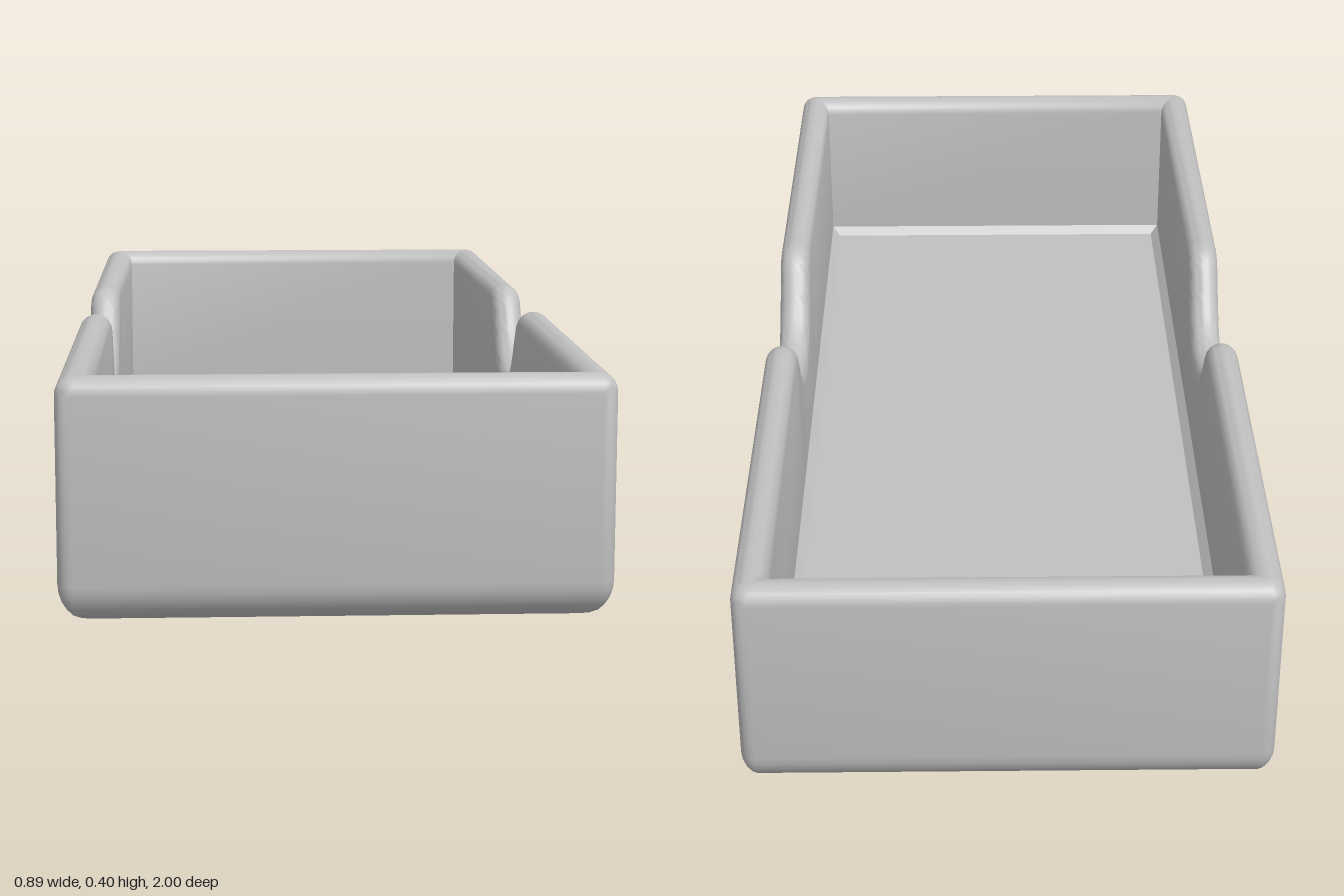
import * as THREE from 'three';
import { toCreasedNormals } from 'three/addons/utils/BufferGeometryUtils.js';

const HX = 0.445, HZ = 1, TOP = 0.4; // half width, half length, height
const CORNER = 0.025;                // vertical outer corner radius
const WALL = 0.06, RIM = 0.03;       // wall thickness, rim rounding
const FILLET = 0.065;                // bottom edge rounding
const FLOOR = 0.066, CHAMFER = 0.016;

// Top edge of the long walls with the finger notch, as (z, y)
function notchSamples() {
  const half = [[0.3, 0.4], [0.25, 0.4], [0.218, 0.4], [0.19, 0.393], [0.17, 0.377],
    [0.15, 0.352], [0.12, 0.312], [0.09, 0.283], [0.05, 0.261]];
  const pts = [...half, [0, 0.253], ...half.slice().reverse().map(([z, y]) => [-z, y])];
  const curve = new THREE.SplineCurve(pts.map(([z, y]) => new THREE.Vector2(z, y)));
  const samples = [];
  for (let i = 0; i <= 56; i++) {
    const p = curve.getPointAt(i / 56), t = curve.getTangentAt(i / 56);
    samples.push({ z: p.x, h: p.y, nz: t.y, ny: -t.x }); // normal points up
  }
  return samples;
}

// Columns around the outline; at(d) gives the [x, z] point inset by d
function outline() {
  const cols = [];
  const signs = [[1, 1], [-1, 1], [-1, -1], [1, -1]];
  const notch = notchSamples();
  const side = (sx, list) => list.forEach((s) => cols.push({
    at: (d) => [sx * (HX - d), s.z], h: s.h, nz: s.nz, ny: s.ny,
  }));
  signs.forEach(([sx, sz], q) => {
    for (let i = 0; i <= 5; i++) {
      const a = (q + i / 5) * Math.PI / 2;
      cols.push({
        at: (d) => {
          const k = Math.max(CORNER - d, 0);
          return [sx * (HX - d - k) + k * Math.cos(a), sz * (HZ - d - k) + k * Math.sin(a)];
        },
        h: TOP, nz: 0, ny: 1,
      });
    }
    if (q === 1) side(-1, notch);
    if (q === 3) side(1, notch.slice().reverse());
  });
  return cols;
}

// Wall section: underside centre, out, up, over the rim, down to the floor centre
function section(col) {
  const pts = [];
  const add = (d, y) => { const [x, z] = col.at(d); pts.push(new THREE.Vector3(x, y, z)); };
  pts.push(new THREE.Vector3(0, 0, 0));
  for (let i = 0; i <= 7; i++) {
    const a = i / 7 * Math.PI / 2;
    add(FILLET * (1 - Math.sin(a)), FILLET * (1 - Math.cos(a)));
  }
  const [ox, oz] = col.at(0), [ix, iz] = col.at(WALL);
  for (let i = 0; i <= 12; i++) {
    const a = i / 12 * Math.PI, w = (1 - Math.cos(a)) / 2;
    const lift = RIM * (Math.sin(a) - 1);
    pts.push(new THREE.Vector3(
      ox + (ix - ox) * w, col.h + col.ny * lift, oz + (iz - oz) * w + col.nz * lift));
  }
  add(WALL, FLOOR + CHAMFER);
  add(WALL + CHAMFER, FLOOR);
  pts.push(new THREE.Vector3(0, FLOOR, 0));
  return pts;
}

function trayGeometry() {
  const rows = outline().map(section);
  const pos = [];
  const tri = (a, b, c) => {
    const area = b.clone().sub(a).cross(c.clone().sub(a)).length();
    if (area > 1e-9) for (const p of [a, b, c]) pos.push(p.x, p.y, p.z);
  };
  rows.forEach((r, i) => {
    const s = rows[(i + 1) % rows.length];
    for (let j = 0; j < r.length - 1; j++) {
      tri(r[j], r[j + 1], s[j]);
      tri(r[j + 1], s[j + 1], s[j]);
    }
  });
  const geo = new THREE.BufferGeometry();
  geo.setAttribute('position', new THREE.Float32BufferAttribute(pos, 3));
  return toCreasedNormals(geo, 0.6);
}

export function createModel() {
  const group = new THREE.Group();
  group.name = 'tray';
  const grey = new THREE.MeshStandardMaterial({ color: 0xc0c0c0 });
  grey.name = 'light grey';
  const body = new THREE.Mesh(trayGeometry(), grey);
  body.name = 'notchedTrayBody';
  group.add(body);
  return group;
}
